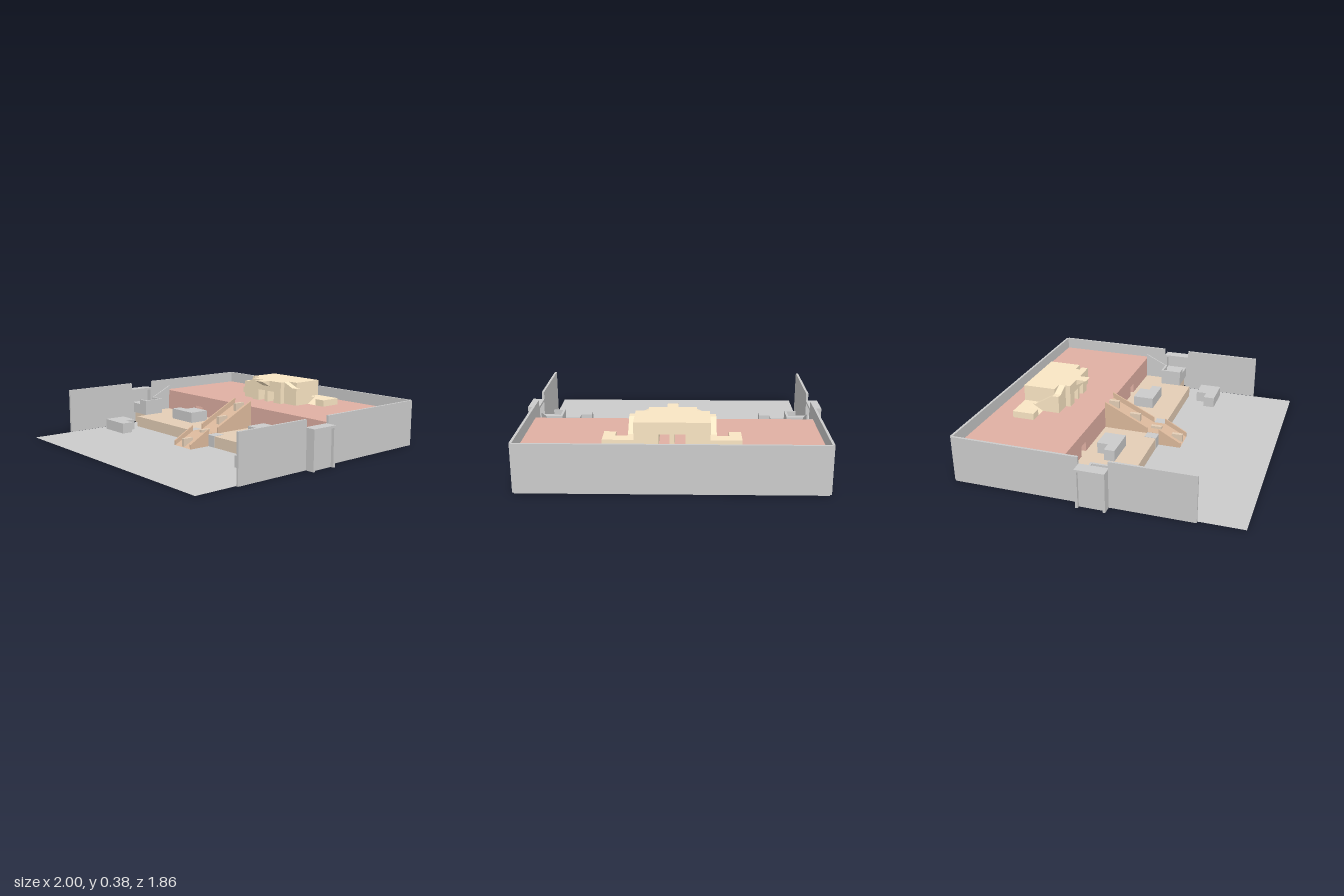
import * as THREE from 'three';

const mat = (color) => new THREE.MeshStandardMaterial({ color, flatShading: true });

export function createModel() {
  const root = new THREE.Group();
  const grey = mat(0xcccccc);
  const red = mat(0xe0b0a3);
  const tan = mat(0xe4ceb6);
  const sand = mat(0xfae6c4);
  const clay = mat(0xdcb99c);

  const add = (name, geo, material) => {
    const m = new THREE.Mesh(geo, material);
    m.name = name;
    root.add(m);
    return m;
  };
  // Box given by its limits
  const box = (name, material, x0, x1, y0, y1, z0, z1) => {
    const g = new THREE.BoxGeometry(Math.abs(x1 - x0), y1 - y0, z1 - z0);
    g.translate((x0 + x1) / 2, (y0 + y1) / 2, (z0 + z1) / 2);
    return add(name, g, material);
  };
  const extrude = (pts, depth) => new THREE.ExtrudeGeometry(
    new THREE.Shape(pts.map(([a, b]) => new THREE.Vector2(a, b))), { depth, bevelEnabled: false });
  // Plan outline [x, z] raised from y0 to y1
  const slab = (name, material, pts, y0, y1) => {
    const g = extrude(pts.map(([x, z]) => [x, -z]), y1 - y0);
    g.rotateX(-Math.PI / 2).translate(0, y0, 0);
    return add(name, g, material);
  };
  // Side profile [z, y] stretched from x0 to x1
  const prism = (name, material, pts, x0, x1) => {
    const g = extrude(pts.map(([z, y]) => [-z, y]), Math.abs(x1 - x0));
    g.rotateY(Math.PI / 2).translate(Math.min(x0, x1), 0, 0);
    return add(name, g, material);
  };
  // Front profile [x, y] stretched from z0 to z1
  const front = (name, material, pts, z0, z1) =>
    add(name, extrude(pts, z1 - z0).translate(0, 0, z0), material);

  const B = 0.003; // terraces start just above the ground sheet

  // Ground sheet and back wall
  const sheet = mat(0xcccccc);
  sheet.side = THREE.DoubleSide;
  add('ground', new THREE.PlaneGeometry(1.84, 1.86).rotateX(-Math.PI / 2), sheet);
  box('backWall', grey, -0.925, 0.925, 0, 0.31, -0.933, -0.917);

  // Upper terrace, with two small doorways in its front face
  box('upperTerrace', red, -0.925, 0.925, B, 0.23, -0.917, -0.3);
  front('upperTerraceFace', red, [
    [-0.925, B], [-0.535, B], [-0.535, 0.15], [-0.46, 0.15], [-0.46, B],
    [0.46, B], [0.46, 0.15], [0.535, 0.15], [0.535, B], [0.925, B],
    [0.925, 0.23], [-0.925, 0.23]], -0.3, -0.225);
  for (const s of [-1, 1]) box('doorwayFloor', tan, s * 0.46, s * 0.535, B, 0.08, -0.3, -0.225);

  // Middle terrace
  slab('middleTerrace', tan, [
    [-0.925, -0.225], [0.925, -0.225], [0.925, 0.075], [0.77, 0.075],
    [0.77, 0.16], [-0.77, 0.16], [-0.77, 0.075], [-0.925, 0.075]], B, 0.08);

  // Central ramp in two flights
  const rampY = (z) => (z > 0.16 ? (0.315 - z) * 0.516 : z > 0.08 ? 0.08 : 0.08 + (0.08 - z) * 0.492);
  prism('centralRamp', clay, [
    [0.315, B], [0.16, 0.083], [0.08, 0.083], [-0.225, 0.232], [-0.225, B]], -0.08, 0.08);
  for (const z of [-0.225, -0.07, 0.085, 0.235]) {
    const top = rampY(z) + 0.02;
    box('rampBlock', tan, -0.013, 0.013, Math.max(B, rampY(z + 0.075) - 0.01), top, z, z + 0.075);
  }

  // Main building: central pier, roof block, nose
  box('centralPier', sand, -0.015, 0.015, 0.23, 0.31, -0.76, -0.455);
  slab('buildingRoof', sand, [
    [-0.23, -0.76], [0.23, -0.76], [0.23, -0.535], [0.15, -0.535], [0.15, -0.455],
    [-0.15, -0.455], [-0.15, -0.535], [-0.23, -0.535]], 0.31, 0.385);
  prism('roofNose', sand, [[-0.455, 0.385], [-0.38, 0.385], [-0.455, 0.345]], -0.035, 0.035);

  for (const s of [-1, 1]) {
    const flip = (pts) => pts.map(([x, z]) => [s * x, z]);

    // Side walls and the projecting gate niches
    box('sideWallRear', grey, s * 0.922, s * 0.938, 0, 0.31, -0.92, -0.085);
    box('sideWallFront', grey, s * 0.922, s * 0.938, 0, 0.31, 0.105, 0.642);
    box('gateFrontWall', grey, s * 0.922, s, 0, 0.26, 0.09, 0.105);
    box('gateRearWall', grey, s * 0.922, s, 0, 0.26, -0.085, -0.068);
    box('gateRoof', grey, s * 0.922, s, 0.245, 0.26, -0.068, 0.09);
    box('gatePanel', grey, s * 0.965, s * 0.98, 0, 0.245, -0.068, 0.09);

    // Corner platform with parapets and a ramp to the upper terrace
    box('cornerPlatform', grey, s * 0.77, s * 0.965, 0.08, 0.155, -0.07, 0.08);
    box('platformInnerParapet', grey, s * 0.77, s * 0.785, 0.155, 0.19, -0.07, 0.08);
    box('platformFrontParapet', grey, s * 0.785, s * 0.85, 0.155, 0.19, 0.065, 0.08);
    box('platformRearParapet', grey, s * 0.785, s * 0.885, 0.155, 0.19, -0.07, -0.055);
    prism('cornerRamp', grey, [[-0.07, 0.08], [-0.07, 0.155], [-0.225, 0.232], [-0.225, 0.08]],
      s * 0.89, s * 0.922);
    prism('cornerRampParapet', grey, [[-0.07, 0.12], [-0.07, 0.19], [-0.225, 0.265], [-0.225, 0.195]],
      s * 0.88, s * 0.89);

    // L-shaped cover blocks
    slab('terraceBlock', grey, flip([
      [0.305, -0.145], [0.46, -0.145], [0.46, -0.072], [0.535, -0.072], [0.535, 0], [0.305, 0]]), 0.08, 0.155);
    slab('groundBlock', grey, flip([
      [0.845, 0.238], [0.695, 0.238], [0.695, 0.31], [0.618, 0.31], [0.618, 0.39], [0.845, 0.39]]), B, 0.077);

    // Ramp parapets and the flush blocks beside the landing
    prism('upperRampParapet', clay, [
      [0.08, B], [0.08, 0.12], [-0.225, 0.27], [-0.225, B]], s * 0.08, s * 0.09);
    prism('lowerRampParapet', clay, [
      [0.315, B], [0.315, 0.035], [0.16, 0.12], [0.16, B]], s * 0.08, s * 0.09);
    box('landingBlock', grey, s * 0.08, s * 0.15, B, 0.082, 0.08, 0.162);

    // Building side mass; the gaps beside the pier are passages
    slab('buildingSide', sand, flip([
      [0.08, -0.76], [0.23, -0.76], [0.23, -0.49], [0.15, -0.49], [0.15, -0.455], [0.08, -0.455]]), 0.23, 0.31);
    front('roofStair', sand, flip([
      [0.15, 0.31], [0.15, 0.385], [0.23, 0.35], [0.23, 0.31]]), -0.535, -0.49);
    prism('sideStair', sand, [
      [-0.49, 0.23], [-0.49, 0.35], [-0.535, 0.35], [-0.66, 0.275], [-0.685, 0.275], [-0.685, 0.23]],
      s * 0.23, s * 0.27);
    slab('wing', sand, flip([
      [0.23, -0.76], [0.42, -0.76], [0.42, -0.61], [0.345, -0.61], [0.345, -0.685], [0.23, -0.685]]), 0.23, 0.275);
    prism('wingRamp', sand, [[-0.685, 0.23], [-0.61, 0.23], [-0.685, 0.275]], s * 0.27, s * 0.345);
  }
  return root;
}
